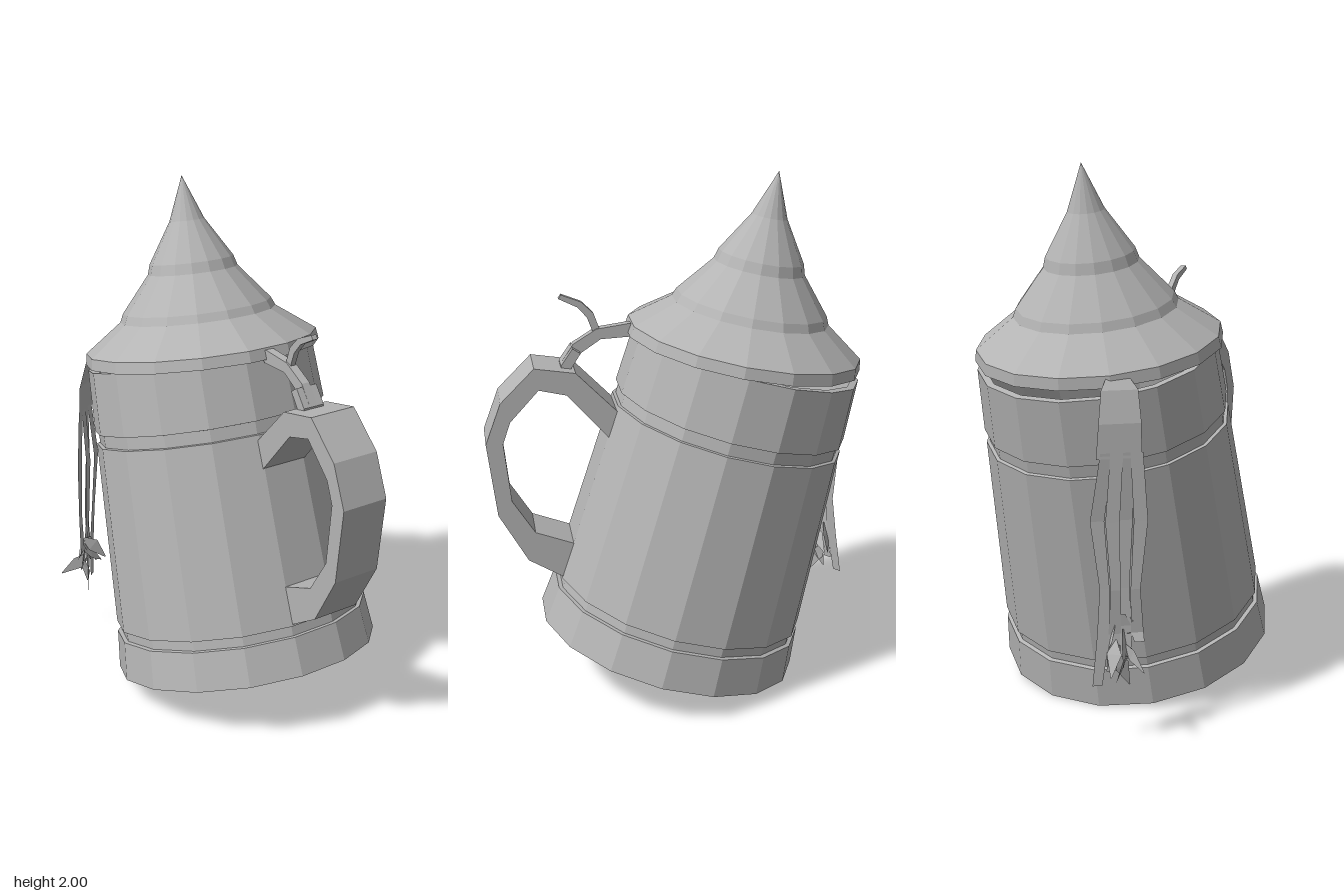
import * as THREE from 'three';

const pewter = new THREE.MeshStandardMaterial({ color: 0xb4b4b4, flatShading: true, side: THREE.DoubleSide });
pewter.name = 'pewter grey';

const SIDES = 16;

function add(parent, name, geometry) {
  const mesh = new THREE.Mesh(geometry, pewter);
  mesh.name = name;
  parent.add(mesh);
  return mesh;
}

// Faceted turned part with flat sides facing the axes
function turned(profile) {
  const points = profile.map(([r, y]) => new THREE.Vector2(r, y));
  return new THREE.LatheGeometry(points, SIDES, Math.PI / SIDES);
}

// Side outline in x,y given an even thickness across z
function slab(outline, width) {
  const shape = new THREE.Shape(outline.map(([x, y]) => new THREE.Vector2(x, y)));
  const geometry = new THREE.ExtrudeGeometry(shape, { depth: width, bevelEnabled: false });
  return geometry.translate(0, 0, -width / 2);
}

// Flat ribbon along rows of [across, y, out, width]
function ribbon(rows) {
  const positions = [], index = [];
  rows.forEach(([across, y, out, width], i) => {
    positions.push(across - width / 2, y, out, across + width / 2, y, out);
    if (i) {
      const a = 2 * i - 2;
      index.push(a, a + 2, a + 1, a + 1, a + 2, a + 3);
    }
  });
  const geometry = new THREE.BufferGeometry();
  geometry.setAttribute('position', new THREE.Float32BufferAttribute(positions, 3));
  geometry.setIndex(index);
  geometry.computeVertexNormals();
  return geometry;
}

export function createModel() {
  const model = new THREE.Group();
  model.name = 'leaning tankard';

  // Hollow tapered body with two recessed grooves
  const body = add(model, 'body', turned([
    [0, 0], [0.525, 0], [0.508, 0.15], [0.492, 0.152], [0.491, 0.19], [0.504, 0.192],
    [0.462, 0.925], [0.449, 0.927], [0.448, 0.975], [0.461, 0.977], [0.447, 1.22],
    [0.42, 1.22], [0.44, 0.06], [0, 0.06],
  ]));
  body.position.set(0.045, 0.135, 0);
  body.rotation.z = 0.263;

  // Stepped, pointed lid, slightly raised away from the hinge
  const lid = add(model, 'lid', turned([
    [0, -0.02], [0.44, -0.02], [0.462, -0.035], [0.455, 0.008], [0.306, 0.116], [0.292, 0.148],
    [0.176, 0.288], [0.164, 0.328], [0.068, 0.482], [0, 0.652],
  ]));
  lid.position.set(-0.26, 1.36, 0);
  lid.rotation.z = 0.19;

  // Broad curved handle
  add(model, 'handle', slab([
    [0.22, 1.1], [0.40, 1.285], [0.555, 1.31], [0.685, 1.18], [0.745, 1.02], [0.71, 0.73],
    [0.6, 0.535], [0.46, 0.45], [0.40, 0.585], [0.425, 0.595], [0.57, 0.65], [0.655, 0.785],
    [0.68, 1.02], [0.65, 1.105], [0.54, 1.225], [0.435, 1.2], [0.25, 0.99],
  ], 0.195));

  // Hinge arm, hinge knuckle and thumb lever
  const hinge = new THREE.Group();
  hinge.name = 'hinge';
  model.add(hinge);
  add(hinge, 'hingeArm', slab([
    [0.13, 1.44], [0.19, 1.446], [0.31, 1.43], [0.4, 1.375], [0.45, 1.3],
    [0.41, 1.28], [0.37, 1.34], [0.295, 1.39], [0.18, 1.395],
  ], 0.035));
  add(hinge, 'hingeKnuckle', slab([
    [0.375, 1.345], [0.405, 1.365], [0.45, 1.3], [0.45, 1.2], [0.4, 1.2], [0.41, 1.29],
  ], 0.09));
  add(hinge, 'thumbLever', slab([
    [0.295, 1.42], [0.32, 1.49], [0.365, 1.535], [0.44, 1.565],
    [0.45, 1.55], [0.38, 1.515], [0.345, 1.475], [0.325, 1.42],
  ], 0.022));

  // Ribbon tassel hanging from the lid rim
  const tassel = new THREE.Group();
  tassel.name = 'tassel';
  tassel.position.set(-0.63, 0, 0.29);
  tassel.rotation.y = -0.86;
  model.add(tassel);
  add(tassel, 'tasselLoop', ribbon([
    [0, 1.29, -0.03, 0.08], [0, 1.25, 0, 0.13], [-0.005, 1.14, 0.03, 0.15], [-0.01, 1.02, 0.035, 0.16],
  ]));
  for (let i = 0; i < 4; i++) {
    const s = i - 1.5;
    const out = i % 2 ? 0.045 : 0.025;
    add(tassel, 'tasselStrand', ribbon([
      [s * 0.035, 1.04, 0.035, 0.045], [s * 0.05 - 0.01, 0.8, out, 0.05],
      [s * 0.035 - 0.01, 0.56, out + 0.015, 0.035],
      [s * 0.04 - 0.01, 0.4, 0.055, 0.045], [s * 0.05 - 0.02, 0.22 + 0.05 * i, 0.07, 0.035],
    ]));
  }

  // Frayed leaf-shaped ends fanned around the bottom
  for (let i = 0; i < 9; i++) {
    const leaf = add(tassel, 'tasselLeaf', ribbon([
      [0, 0, 0, 0.015], [0.005, -0.05, 0.015, 0.055], [0, -0.13, 0.03, 0.004],
    ]));
    leaf.position.set(0.035 * Math.sin(i * 2.1), 0.47 - 0.018 * i, 0.055);
    leaf.rotation.set(0.35 * Math.cos(i * 1.7), i * 2.4, 0.8 * Math.sin(i * 1.9));
  }
  return model;
}
